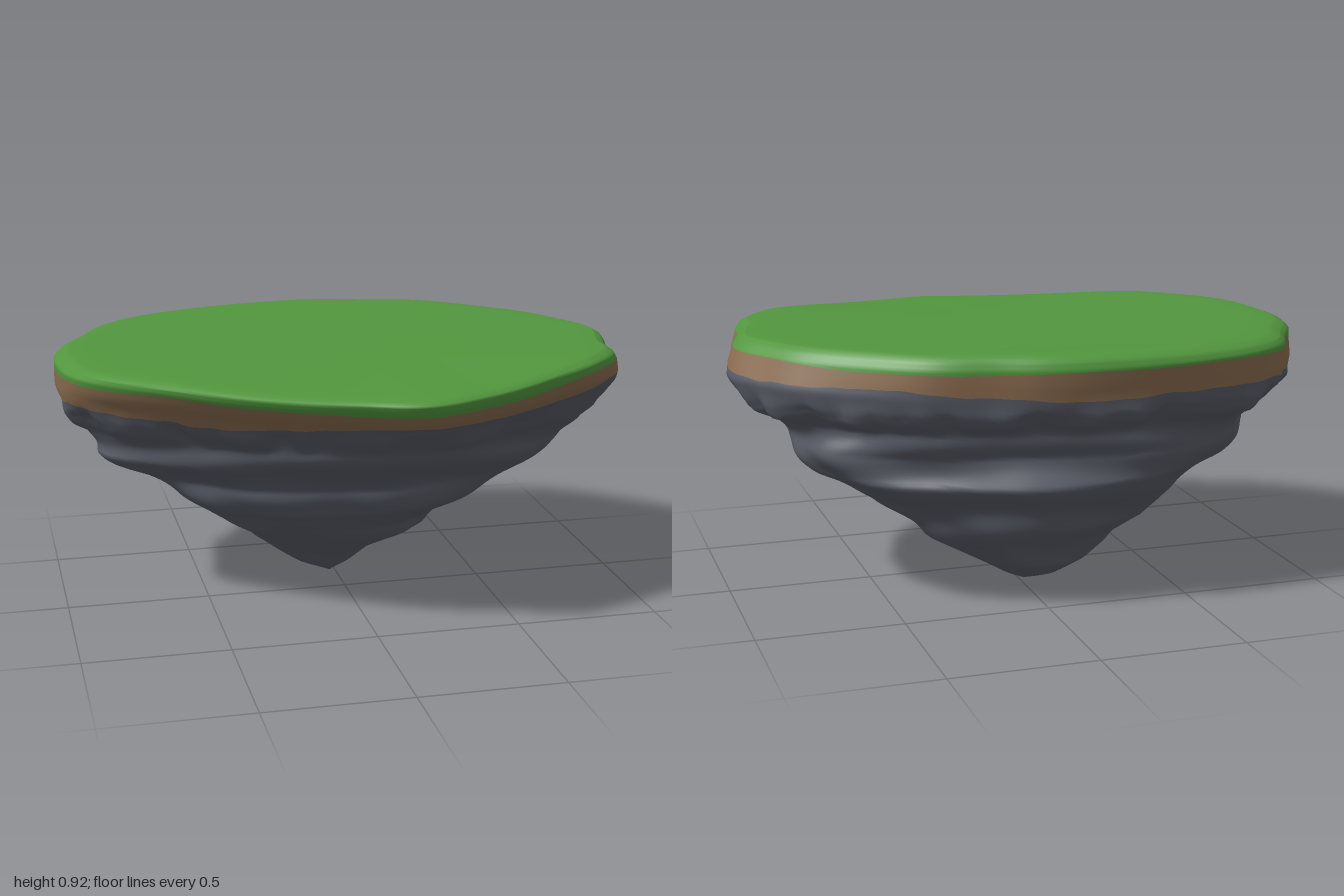
import * as THREE from 'three';

const SEGMENTS = 180;

// Plan outline of the plateau (x, z), going from +x round through +z
const OUTLINE = [
  [0.99, 0], [0.94, 0.19], [0.93, 0.3], [0.81, 0.44], [0.62, 0.55], [0.35, 0.67], [0.13, 0.73],
  [-0.07, 0.68], [-0.29, 0.62], [-0.56, 0.51], [-0.8, 0.35], [-0.95, 0.18], [-1, -0.05],
  [-0.98, -0.24], [-0.89, -0.4], [-0.82, -0.53], [-0.69, -0.63], [-0.45, -0.71], [-0.1, -0.74],
  [0.09, -0.72], [0.25, -0.67], [0.46, -0.61], [0.66, -0.47], [0.83, -0.32], [0.91, -0.2], [0.98, -0.07],
];

// Extents by height: y, xMin, xMax, zMin, zMax
const LEVELS = [
  [0.91, -0.94, 0.92, -0.7, 0.69],
  [0.895, -0.98, 0.95, -0.73, 0.73],
  [0.87, -1, 0.97, -0.74, 0.715],
  [0.82, -1, 0.99, -0.73, 0.67],
  [0.78, -1, 1, -0.72, 0.61],
  [0.72, -0.98, 0.97, -0.71, 0.56],
  [0.68, -0.94, 0.94, -0.68, 0.52],
  [0.64, -0.88, 0.86, -0.63, 0.48],
  [0.55, -0.86, 0.82, -0.58, 0.4],
  [0.45, -0.72, 0.73, -0.61, 0.3],
  [0.35, -0.57, 0.52, -0.53, 0.27],
  [0.26, -0.47, 0.4, -0.48, 0.14],
  [0.2, -0.34, 0.34, -0.43, 0.09],
  [0.1, -0.23, 0.16, -0.37, -0.06],
  [0.04, -0.13, 0.06, -0.28, -0.11],
  [0, -0.02, -0.02, -0.17, -0.17],
];

const { lerp, smoothstep } = THREE.MathUtils;
const bump = (y, centre, width) => Math.exp(-(((y - centre) / width) ** 2));

function extentsAt(y) {
  let i = 0;
  while (i < LEVELS.length - 2 && y < LEVELS[i + 1][0]) i++;
  const [a, b] = [LEVELS[i], LEVELS[i + 1]];
  const t = THREE.MathUtils.clamp((a[0] - y) / (a[0] - b[0]), 0, 1);
  return a.map((v, k) => lerp(v, b[k], t));
}

// Ragged wave around the island, about -1 to 1
const ragged = (a) =>
  0.4 * Math.sin(13 * a + 1) + 0.35 * Math.sin(23 * a + 2 * Math.sin(3 * a)) + 0.25 * Math.sin(41 * a + 4);

// Lower edges of the grass and of the soil
const grassEdge = (a) => 0.857 + 0.008 * Math.cos(a) + 0.006 * Math.sin(3 * a + 1) + 0.002 * Math.sin(11 * a);
const soilEdge = (a) => 0.775 + 0.03 * Math.cos(a) + 0.01 * Math.sin(5 * a) + 0.005 * ragged(a);

function surfacePoint(p, a, y) {
  const [, x0, x1, z0, z1] = extentsAt(y);
  // The outline becomes rounder towards the tip
  const round = 0.7 * (1 - smoothstep(y, 0.15, 0.75));
  const ux = lerp(p.x, Math.cos(a), round);
  const uz = lerp(p.y / 0.735, Math.sin(a), round);
  // Rock folds, with a ragged overhanging lip below the soil
  const rock = (1 - smoothstep(y, 0.6, 0.72)) * smoothstep(y, 0, 0.1);
  const lip = bump(y, 0.69, 0.045);
  const folds = 0.022 * Math.sin(38 * y + 2 * Math.sin(2 * a + 1)) + 0.02 * Math.sin(5 * a + 9 * y)
    + 0.012 * Math.sin(9 * a - 16 * y + 2);
  const r = 1 + rock * folds + lip * 0.022 * ragged(a + 0.5 * y);
  const x = (x0 + x1) / 2 + (ux * r * (x1 - x0)) / 2;
  const z = (z0 + z1) / 2 + (uz * r * (z1 - z0)) / 2;
  // The front rim droops slightly
  const droop = 0.04 * smoothstep(p.y, 0.4, 0.73) * smoothstep(y, 0.55, 0.85);
  const wave = 0.008 * Math.sin(2.5 * x + 0.8) * smoothstep(y, 0.86, 0.91);
  return [x, y - droop + wave + lip * 0.022 * ragged(a + 2), z];
}

export function createModel() {
  const curve = new THREE.CatmullRomCurve3(OUTLINE.map(([x, z]) => new THREE.Vector3(x, z, 0)), true);
  const outline = curve.getSpacedPoints(SEGMENTS).slice(0, SEGMENTS);
  const angles = outline.map((p) => Math.atan2(p.y / 0.735, p.x));

  const positions = [];
  let rings = 0;
  const addRing = (pointAt) => {
    outline.forEach((p, j) => positions.push(...pointAt(p, angles[j])));
    rings++;
  };

  // Plateau top, from the centre out to the rim
  for (let i = 0; i < 12; i++) {
    const t = i / 12;
    addRing((p, a) => {
      const [x, y, z] = surfacePoint(p, a, 0.91);
      return [x * t, lerp(0.908, y, t * t), z * t];
    });
  }
  // Grass rim
  for (let i = 0; i <= 8; i++) addRing((p, a) => surfacePoint(p, a, lerp(0.91, grassEdge(a), i / 8)));
  const grassEnd = rings - 1;
  // Soil band
  for (let i = 1; i <= 6; i++) addRing((p, a) => surfacePoint(p, a, lerp(grassEdge(a), soilEdge(a), i / 6)));
  const soilEnd = rings - 1;
  // Rock down to the tip
  for (let i = 1; i <= 70; i++) addRing((p, a) => surfacePoint(p, a, lerp(soilEdge(a), 0, i / 70)));
  const rockEnd = rings - 1;

  const bandIndex = (from, to) => {
    const index = [];
    for (let i = from; i < to; i++) {
      for (let j = 0; j < SEGMENTS; j++) {
        const k = (j + 1) % SEGMENTS;
        const [a, b, c, d] = [i * SEGMENTS + j, i * SEGMENTS + k, (i + 1) * SEGMENTS + j, (i + 1) * SEGMENTS + k];
        if (i > 0) index.push(a, b, c);
        if (i < rockEnd - 1) index.push(b, d, c);
      }
    }
    return index;
  };

  // Shared normals keep the shading continuous between the bands
  const whole = new THREE.BufferGeometry();
  whole.setAttribute('position', new THREE.Float32BufferAttribute(positions, 3));
  whole.setIndex(bandIndex(0, rockEnd));
  whole.computeVertexNormals();
  for (let j = 0; j < SEGMENTS; j++) {
    whole.attributes.normal.setXYZ(j, 0, 1, 0);
    whole.attributes.normal.setXYZ(rockEnd * SEGMENTS + j, 0, -1, 0);
  }

  const group = new THREE.Group();
  group.name = 'floatingIsland';
  const addBand = (name, color, from, to) => {
    const geometry = whole.clone();
    geometry.setIndex(bandIndex(from, to));
    const material = new THREE.MeshStandardMaterial({ color });
    material.name = name + 'Colour';
    const mesh = new THREE.Mesh(geometry, material);
    mesh.name = name;
    group.add(mesh);
  };
  addBand('grass', 0x52963e, 0, grassEnd);
  addBand('soil', 0x8a6c50, grassEnd, soilEnd);
  addBand('rock', 0x585b66, soilEnd, rockEnd);
  return group;
}
